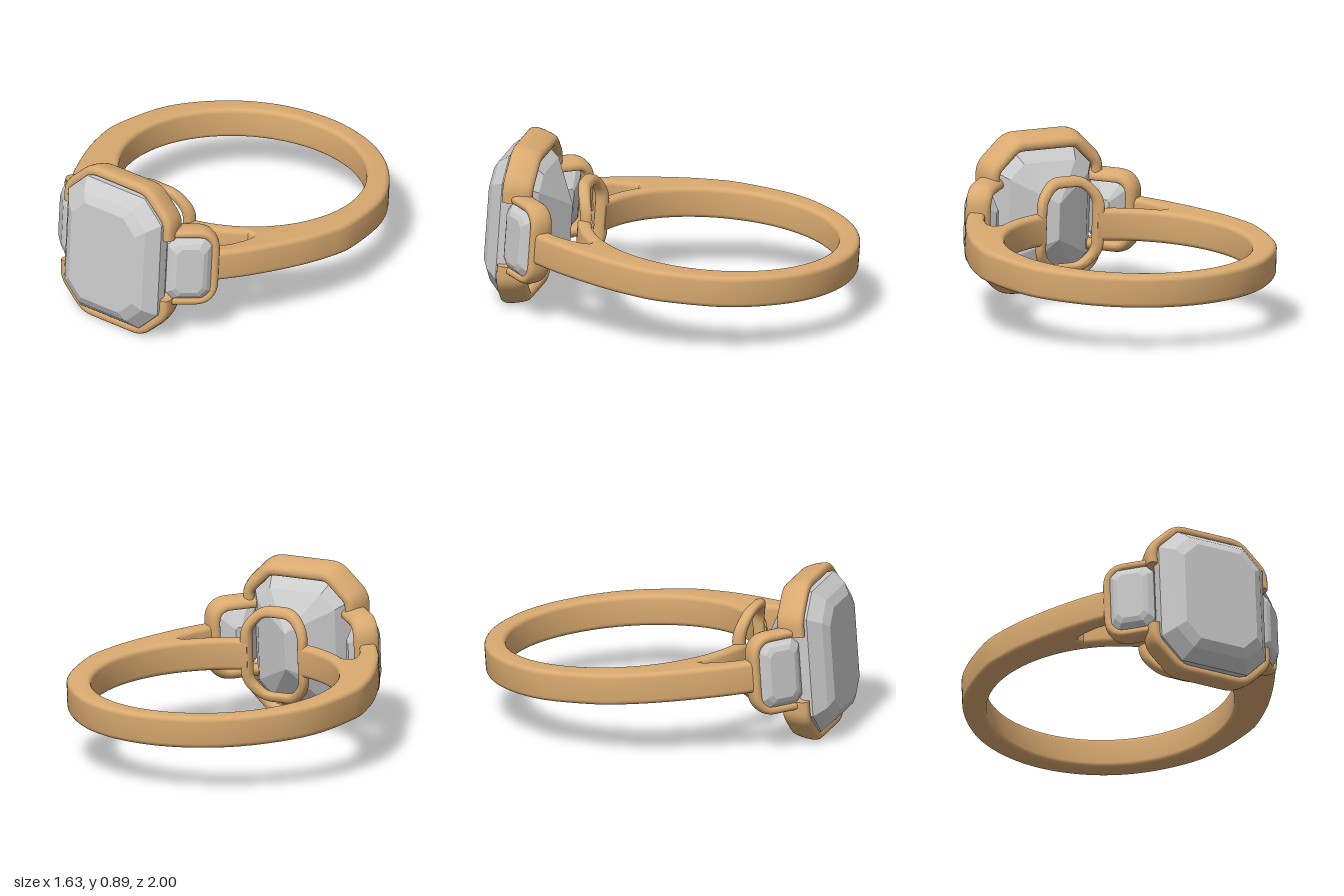
import * as THREE from 'three';
import { toCreasedNormals } from 'three/addons/utils/BufferGeometryUtils.js';

const gold = new THREE.MeshStandardMaterial({ color: 0xd9aa70 });
const gem = new THREE.MeshStandardMaterial({ color: 0xcccccc, flatShading: true });

function mesh(name, geometry, material) {
  const m = new THREE.Mesh(geometry, material);
  m.name = name;
  return m;
}

// Skins equal-length loops of points; each loop runs counter-clockwise about the sweep.
function skin(loops, closed, flip) {
  const n = loops[0].length, count = loops.length, pos = [];
  const tri = (a, b, c) => [a, ...(flip ? [c, b] : [b, c])].forEach(p => pos.push(p.x, p.y, p.z));
  for (let i = 0; i < (closed ? count : count - 1); i++) {
    const A = loops[i], B = loops[(i + 1) % count];
    for (let j = 0; j < n; j++) {
      const k = (j + 1) % n;
      tri(A[j], B[j], B[k]);
      tri(A[j], B[k], A[k]);
    }
  }
  if (!closed) {
    [loops[0], loops[count - 1]].forEach((L, end) => {
      const c = L.reduce((s, p) => s.add(p), new THREE.Vector3()).divideScalar(n);
      L.forEach((p, j) => end ? tri(c, L[(j + 1) % n], p) : tri(c, p, L[(j + 1) % n]));
    });
  }
  const g = new THREE.BufferGeometry();
  g.setAttribute('position', new THREE.Float32BufferAttribute(pos, 3));
  g.computeVertexNormals();
  return g;
}

// Replaces path corners by small curves.
function roundPath(pts, r, closed) {
  const out = [], n = pts.length, v = pts.map(p => new THREE.Vector2(...p));
  v.forEach((p, i) => {
    if (!closed && (i === 0 || i === n - 1)) { out.push(p); return; }
    const toward = q => p.clone().add(q.clone().sub(p).setLength(Math.min(r, q.distanceTo(p) * 0.45)));
    const curve = new THREE.QuadraticBezierCurve(toward(v[(i + n - 1) % n]), p, toward(v[(i + 1) % n]));
    out.push(...curve.getPoints(6));
  });
  return out;
}

// Sweeps a profile of [outward offset, z] along a counter-clockwise path in xy.
function sweep(pts, r, closed, profile) {
  const path = roundPath(pts, r, closed), n = path.length;
  const section = new THREE.CatmullRomCurve3(profile.map(([o, z]) => new THREE.Vector3(o, z, 0)), true)
    .getPoints(24).slice(0, -1);
  const loops = path.map((p, i) => {
    const prev = closed || i > 0 ? path[(i + n - 1) % n] : p;
    const next = closed || i < n - 1 ? path[(i + 1) % n] : p;
    const d = next.clone().sub(prev).normalize();
    return section.map(s => new THREE.Vector3(p.x + d.y * s.x, p.y - d.x * s.x, s.y));
  });
  return skin(loops, closed);
}

// Step-cut stone: rings of [half width, half height, corner cut, z], back to front.
function stone(rings) {
  const loops = rings.map(([w, h, c, z]) => [
    [w, -h + c], [w, h - c], [w - c, h], [-w + c, h],
    [-w, h - c], [-w, -h + c], [-w + c, -h], [w - c, -h],
  ].map(([x, y]) => new THREE.Vector3(x, y, z)));
  return skin(loops, false, true);
}

// Band outline seen from above, with two split shoulders and a gap at the front.
function bandGeometry() {
  const cz = -0.225, V = (x, z) => new THREE.Vector2(x, z);
  const arc = (r, a, b, n) => Array.from({ length: n + 1 }, (_, i) => {
    const t = a + (b - a) * i / n;
    return V(r * Math.sin(t), cz + r * Math.cos(t));
  });
  const inner = arc(0.662, 0.235, Math.PI * 2 - 0.235, 90);
  const outer = new THREE.SplineCurve([
    [-0.51, 0.65], [-0.62, 0.47], [-0.73, 0.23], [-0.793, 0.03], [-0.815, -0.17],
    [-0.745, -0.51], [-0.55, -0.78], [-0.3, -0.942], [0, -1], [0.3, -0.942],
  ].map(p => V(...p))).getPoints(90).filter(p => p.x < -0.005);
  const left = [
    ...arc(0.737, -0.22, -0.71, 14),
    V(-0.505, 0.334), V(-0.522, 0.342), V(-0.528, 0.365),
    V(-0.518, 0.42), V(-0.49, 0.5), V(-0.42, 0.62), ...outer,
  ];
  const right = left.map(p => V(-p.x, p.y)).reverse();
  const b = 0.026, depth = 0.172 - 2 * b;
  const g = new THREE.ExtrudeGeometry(new THREE.Shape([...inner, ...left, V(0, -1), ...right]), {
    depth, bevelEnabled: true, bevelSize: b, bevelThickness: b, bevelOffset: -b, bevelSegments: 5,
  });
  g.translate(0, 0, -depth / 2).rotateX(Math.PI / 2);
  return toCreasedNormals(g, 0.6);
}

export function createModel() {
  const model = new THREE.Group();
  model.name = 'ring';
  const ring = new THREE.Group();
  ring.name = 'tiltedRing';
  ring.rotation.x = -0.07;
  ring.position.y = 0.388;
  model.add(ring);

  ring.add(mesh('band', bandGeometry(), gold));

  // Gallery frame behind the centre stone, bent to follow the finger
  const loop = sweep([
    [0.17, -0.15], [0.17, 0.15], [0.09, 0.238], [-0.09, 0.238],
    [-0.17, 0.15], [-0.17, -0.15], [-0.09, -0.238], [0.09, -0.238],
  ], 0.05, true, [[0.026, -0.015], [0.026, 0.015], [0.015, 0.03], [-0.015, 0.03],
    [-0.026, 0.015], [-0.026, -0.015], [-0.015, -0.03], [0.015, -0.03]]);
  const p = loop.attributes.position;
  for (let i = 0; i < p.count; i++) {
    p.setZ(i, p.getZ(i) + 0.462 + 0.6 * p.getY(i) ** 2 - 0.7 * p.getX(i) ** 2);
  }
  ring.add(mesh('galleryFrame', toCreasedNormals(loop, 0.7), gold));

  // Centre stone
  ring.add(mesh('centreStone', stone([
    [0.002, 0.1, 0.001, 0.567], [0.235, 0.3, 0.08, 0.7], [0.318, 0.39, 0.12, 0.83],
    [0.318, 0.39, 0.12, 0.885], [0.262, 0.335, 0.1, 0.952], [0.215, 0.285, 0.085, 0.981],
  ]), gem));

  // Centre bezel: upper and lower halves, open at the sides
  const halfBezel = sweep([
    [0.338, 0.18], [0.338, 0.278], [0.19, 0.42], [-0.19, 0.42], [-0.338, 0.278], [-0.338, 0.18],
  ], 0.05, false, [[-0.015, 0.72], [0.003, 0.745], [0.026, 0.845], [0.016, 0.87],
    [-0.014, 0.873], [-0.026, 0.855], [-0.04, 0.8], [-0.06, 0.74], [-0.045, 0.718]]);
  const bezelGeometry = toCreasedNormals(halfBezel, 0.7);
  const upper = mesh('centreBezelUpper', bezelGeometry, gold);
  const lower = mesh('centreBezelLower', bezelGeometry, gold);
  lower.geometry = bezelGeometry.clone().rotateZ(Math.PI);
  ring.add(upper, lower);

  // Side stones in C-shaped bezels
  const sideBezel = toCreasedNormals(sweep([
    [-0.14, -0.2], [0.085, -0.2], [0.137, -0.145], [0.137, 0.145], [0.085, 0.2], [-0.14, 0.2],
  ], 0.05, false, [[-0.005, -0.07], [0.018, -0.045], [0.026, 0.03], [0.014, 0.058],
    [-0.012, 0.058], [-0.026, 0.035], [-0.036, -0.03], [-0.03, -0.068]]), 0.7);
  const sideStone = stone([
    [0.02, 0.07, 0.01, -0.075], [0.085, 0.145, 0.03, -0.02], [0.122, 0.182, 0.04, 0.03],
    [0.122, 0.182, 0.04, 0.05], [0.095, 0.155, 0.035, 0.078], [0.072, 0.13, 0.028, 0.09],
  ]);
  for (const s of [1, -1]) {
    const side = new THREE.Group();
    side.name = s > 0 ? 'leftSideSetting' : 'rightSideSetting';
    // The section is symmetric top to bottom, so a half turn about z mirrors it
    const turn = g => s > 0 ? g : g.clone().rotateZ(Math.PI);
    side.add(mesh('sideBezel', turn(sideBezel), gold), mesh('sideStone', turn(sideStone), gem));
    side.position.set(s * 0.378, 0, 0.714);
    side.rotation.y = s * Math.PI / 4;
    ring.add(side);
  }
  return model;
}
